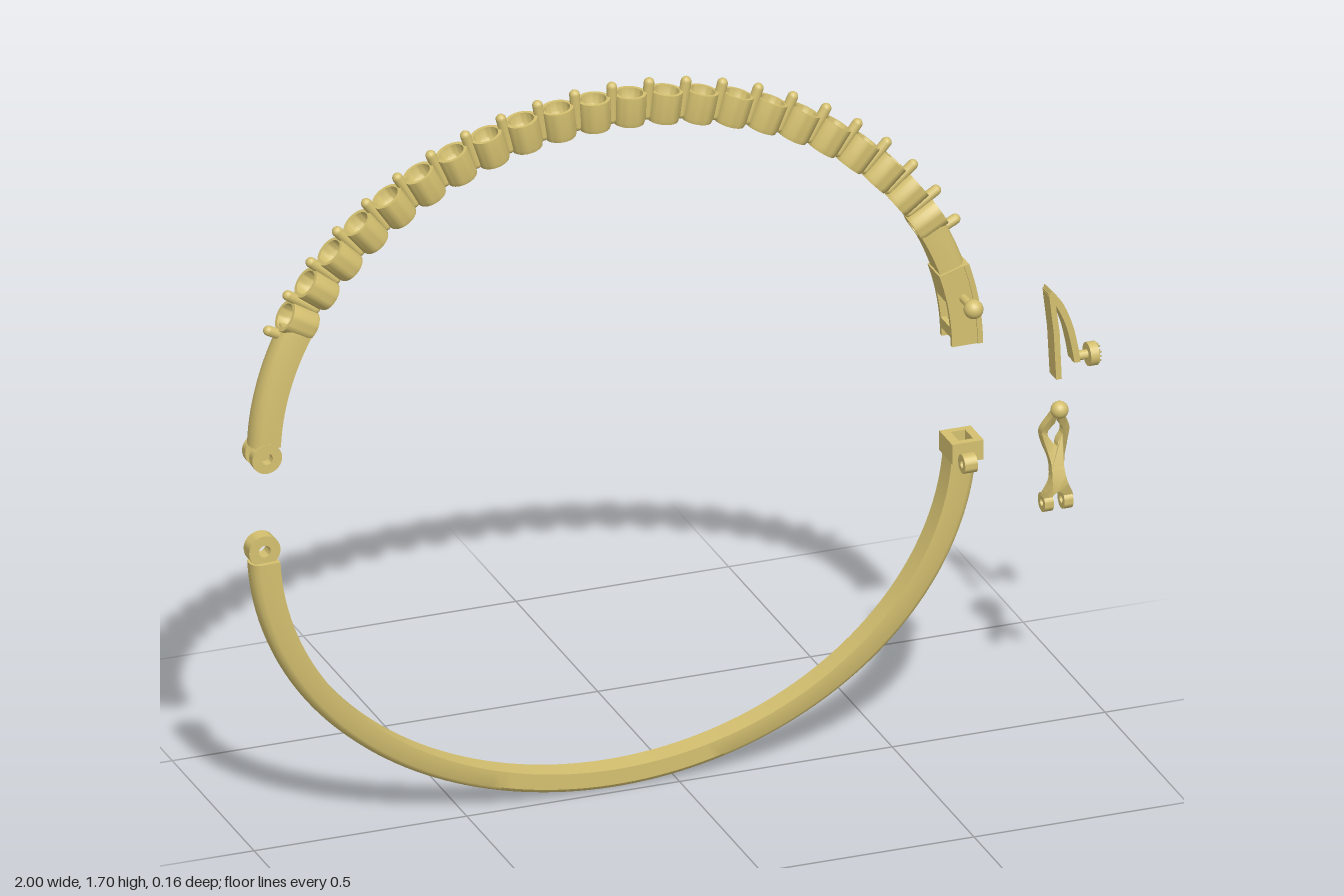
import * as THREE from 'three';
import { toCreasedNormals, mergeVertices } from 'three/addons/utils/BufferGeometryUtils.js';

const gold = new THREE.MeshStandardMaterial({ color: 0xd4c070 });
const CX = -0.145, CZ = -0.037, UP = 0.95, LOW = 0.72;

function add(parent, name, geo, x = 0, y = 0, z = 0) {
  const mesh = new THREE.Mesh(geo, gold);
  mesh.name = name;
  mesh.position.set(x, y, z);
  parent.add(mesh);
  return mesh;
}

// Sweep a closed section [u = inner to outer, w = z] along an elliptical arc
function arcSweep(cy, outerRy, innerRy, t0, t1, section, n) {
  const pos = [], idx = [], m = section.length;
  for (let j = 0; j <= n; j++) {
    const t = t0 + (t1 - t0) * j / n;
    for (const [u, w] of section) {
      const rx = 0.79 + 0.065 * u, ry = innerRy + (outerRy - innerRy) * u;
      pos.push(CX + rx * Math.cos(t), cy + ry * Math.sin(t), CZ + w);
    }
  }
  for (let j = 0; j < n; j++) for (let i = 0; i < m; i++) {
    const a = j * m + i, b = j * m + (i + 1) % m, c = a + m, d = b + m;
    idx.push(a, c, b, b, c, d);
  }
  for (let i = 1; i < m - 1; i++) {
    const e = n * m;
    idx.push(0, i, i + 1, e, e + i + 1, e + i);
  }
  const geo = new THREE.BufferGeometry();
  geo.setAttribute('position', new THREE.Float32BufferAttribute(pos, 3));
  geo.setIndex(idx);
  return toCreasedNormals(geo, 0.6);
}
const upperArc = (t0, t1, sec, n) => arcSweep(UP, 0.73, 0.66, t0, t1, sec, n);
const rect = (u0, u1, w0, w1) => [[u0, w1], [u0, w0], [u1, w0], [u1, w1]];
const domed = h => [[0, h], [0, -h], [0.72, -h], [0.88, -h * 0.8], [0.97, -h * 0.42], [1, 0],
  [0.97, h * 0.42], [0.88, h * 0.8], [0.72, h]];

// Solid ring with a square section, axis along y
function ring(r, hole, width) {
  const h = width / 2;
  const pts = [[hole, -h], [r, -h], [r, h], [hole, h], [hole, -h]].map(p => new THREE.Vector2(...p));
  return toCreasedNormals(new THREE.LatheGeometry(pts, 28), 0.6);
}
const ringZ = (r, hole, w) => ring(r, hole, w).rotateX(Math.PI / 2);
const ringX = (r, hole, w) => ring(r, hole, w).rotateZ(Math.PI / 2);
const spline = pts => new THREE.SplineCurve(pts.map(p => new THREE.Vector2(...p)));

function upperHalf() {
  const g = new THREE.Group();
  g.name = 'upperHalf';
  add(g, 'leftUpperBand', upperArc(Math.PI - 0.43, Math.PI - 0.035, domed(0.031), 16));
  add(g, 'rightUpperBand', upperArc(0.26, 0.43, domed(0.031), 8));
  for (const s of [-1, 1]) add(g, 'upperHingeLug', ringZ(0.035, 0.013, 0.02), -0.967, UP, CZ + s * 0.022);

  // Stone settings with a pin between neighbours
  const seat = [[0.02, -0.035], [0.034, -0.035], [0.037, -0.025], [0.037, 0.035], [0.029, 0.035],
    [0.027, 0.012], [0.02, 0.002], [0.02, -0.035]].map(p => new THREE.Vector2(...p));
  const collet = toCreasedNormals(new THREE.LatheGeometry(seat, 28), 0.6);
  const pin = new THREE.CapsuleGeometry(0.012, 0.076, 5, 12);
  const path = new THREE.EllipseCurve(CX, UP, 0.8225, 0.695, 0.4, Math.PI - 0.4);
  const count = 22;
  for (let i = 0; i <= count * 2; i++) {
    const p = path.getPointAt(i / (count * 2)), t = path.getTangentAt(i / (count * 2));
    const isPin = i % 2 === 0, out = isPin ? 0.017 : 0;
    const mesh = add(g, isPin ? 'settingPin' : 'stoneSetting', isPin ? pin : collet,
      p.x + t.y * out, p.y - t.x * out, CZ);
    mesh.rotation.z = Math.atan2(-t.x, t.y) - Math.PI / 2;
  }

  // Hollow clasp box with a window on its inner side
  const box = new THREE.Group();
  box.name = 'claspBox';
  g.add(box);
  const t0 = 0.006, t1 = 0.277;
  add(box, 'outerWall', upperArc(t0, t1, rect(0.85, 1.04, -0.04, 0.04), 10));
  add(box, 'frontWall', upperArc(t0, t1, rect(-0.06, 0.86, 0.027, 0.037), 10));
  add(box, 'backWall', upperArc(t0, t1, rect(-0.06, 0.86, -0.037, -0.027), 10));
  add(box, 'innerLip', upperArc(t0 + 0.03, 0.075, rect(-0.06, 0.12, -0.028, 0.028), 3));
  add(box, 'innerWall', upperArc(0.17, t1, rect(-0.06, 0.12, -0.028, 0.028), 5));
  add(box, 'endWall', upperArc(0.25, t1, rect(0, 0.95, -0.03, 0.03), 2));

  // Safety stud
  add(g, 'studStem', new THREE.CylinderGeometry(0.01, 0.01, 0.06, 16).rotateX(Math.PI / 2), 0.668, 1.068, 0.025);
  add(g, 'studBall', new THREE.SphereGeometry(0.022, 20, 14), 0.668, 1.068, 0.06);
  return g;
}

function lowerHalf() {
  const g = new THREE.Group();
  g.name = 'lowerHalf';
  add(g, 'lowerBand', arcSweep(LOW, 0.71, 0.66, Math.PI + 0.04, Math.PI * 2 - 0.06, domed(0.028), 96));
  add(g, 'lowerHingeLug', ringZ(0.037, 0.014, 0.034), -0.967, LOW, CZ);
  // Clasp socket with a slot in its top
  const s = new THREE.Shape([[-0.037, -0.04], [0.037, -0.04], [0.037, 0.04], [-0.037, 0.04]].map(p => new THREE.Vector2(...p)));
  s.holes.push(new THREE.Path([[-0.016, -0.024], [-0.016, 0.024], [0.018, 0.024], [0.018, -0.024]].map(p => new THREE.Vector2(...p))));
  add(g, 'claspSocket', new THREE.ExtrudeGeometry(s, { depth: 0.047, bevelEnabled: false }).rotateX(-Math.PI / 2), 0.677, 0.672, CZ);
  add(g, 'latchEyelet', ringX(0.022, 0.009, 0.03), 0.668, 0.681, 0.027);
  return g;
}

function tongue() {
  const g = new THREE.Group();
  g.name = 'claspTongue';
  const leaf = (name, pts, depth) => {
    const s = new THREE.Shape(pts.map(p => new THREE.Vector2(...p)));
    add(g, name, new THREE.ExtrudeGeometry(s, { depth, bevelEnabled: false }), 0, 0, CZ - depth / 2);
  };
  const outer = spline([[0.88, 1.043], [0.907, 1.01], [0.93, 0.955], [0.943, 0.9], [0.949, 0.86]]).getPoints(20);
  const inner = spline([[0.935, 0.86], [0.928, 0.9], [0.916, 0.95], [0.897, 0.995], [0.875, 1.03]]).getPoints(20);
  leaf('springLeaf', [...outer, ...inner].reverse().map(p => [p.x, p.y]), 0.041);
  leaf('baseLeaf', [[0.875, 1.035], [0.886, 0.94], [0.892, 0.826], [0.905, 0.826], [0.9, 0.94], [0.888, 1.03]], 0.041);
  add(g, 'buttonStem', new THREE.CylinderGeometry(0.011, 0.011, 0.04, 16).rotateZ(Math.PI / 2), 0.957, 0.866, CZ);
  add(g, 'button', new THREE.CylinderGeometry(0.027, 0.027, 0.02, 24).rotateZ(Math.PI / 2), 0.982, 0.866, CZ);
  // Grip studs on the button face
  for (let a = -2; a <= 2; a++) for (let b = -2; b <= 2; b++) {
    if (a * a + b * b > 5) continue;
    const stud = new THREE.ConeGeometry(0.006, 0.009, 4).rotateZ(-Math.PI / 2);
    add(g, 'gripStud', stud, 0.9955, 0.866 + a * 0.0098, CZ + b * 0.0098);
  }
  return g;
}

function latch() {
  const g = new THREE.Group();
  g.name = 'safetyLatch';
  const X = 0.892;
  // Outline mirrored about the centre, with a keyhole opening
  const side = spline([[0.01, 0.765], [0.017, 0.742], [0.032, 0.705], [0.027, 0.67], [0.015, 0.63],
    [0.018, 0.59], [0.033, 0.555], [0.034, 0.54]]).getPoints(42).map(p => [p.x, p.y]);
  const crotch = [[0.014, 0.54], [0.012, 0.553], [0, 0.563]];
  const right = [...side, ...crotch];
  const left = right.slice(0, -1).reverse().map(([x, y]) => [-x, y]);
  const shape = new THREE.Shape([...right, ...left].reverse().map(p => new THREE.Vector2(...p)));
  const half = spline([[0.004, 0.735], [0.006, 0.722], [0.017, 0.705], [0.017, 0.69], [0.007, 0.674], [0.004, 0.662]])
    .getPoints(24).map(p => [p.x, p.y]);
  shape.holes.push(new THREE.Path([...half, ...half.slice().reverse().map(([x, y]) => [-x, y])].map(p => new THREE.Vector2(...p))));
  const geo = new THREE.ExtrudeGeometry(shape, { depth: 0.022, bevelEnabled: false });
  // Bend the plate into its S-shaped side profile
  const bend = spline([[0.533, -0.02], [0.585, -0.008], [0.63, -0.02], [0.685, -0.034], [0.73, -0.02], [0.77, 0.002]]).getPoints(60);
  const p = geo.attributes.position;
  for (let i = 0; i < p.count; i++) {
    const y = p.getY(i);
    let k = bend.findIndex(q => q.x >= y);
    if (k < 1) k = 1;
    const a = bend[k - 1], b = bend[k];
    p.setZ(i, p.getZ(i) - 0.011 + a.y + (b.y - a.y) * (y - a.x) / (b.x - a.x));
  }
  geo.deleteAttribute('normal');
  geo.deleteAttribute('uv');
  add(g, 'latchPlate', toCreasedNormals(mergeVertices(geo), 0.6), X);
  add(g, 'latchBall', new THREE.SphereGeometry(0.02, 20, 14), X, 0.762, 0.003);
  for (const s of [-1, 1]) add(g, 'latchKnuckle', ringX(0.022, 0.009, 0.021), X + s * 0.023, 0.534, -0.02);
  return g;
}

export function createModel() {
  const model = new THREE.Group();
  model.name = 'hingedBangle';
  model.add(upperHalf(), lowerHalf(), tongue(), latch());
  return model;
}
